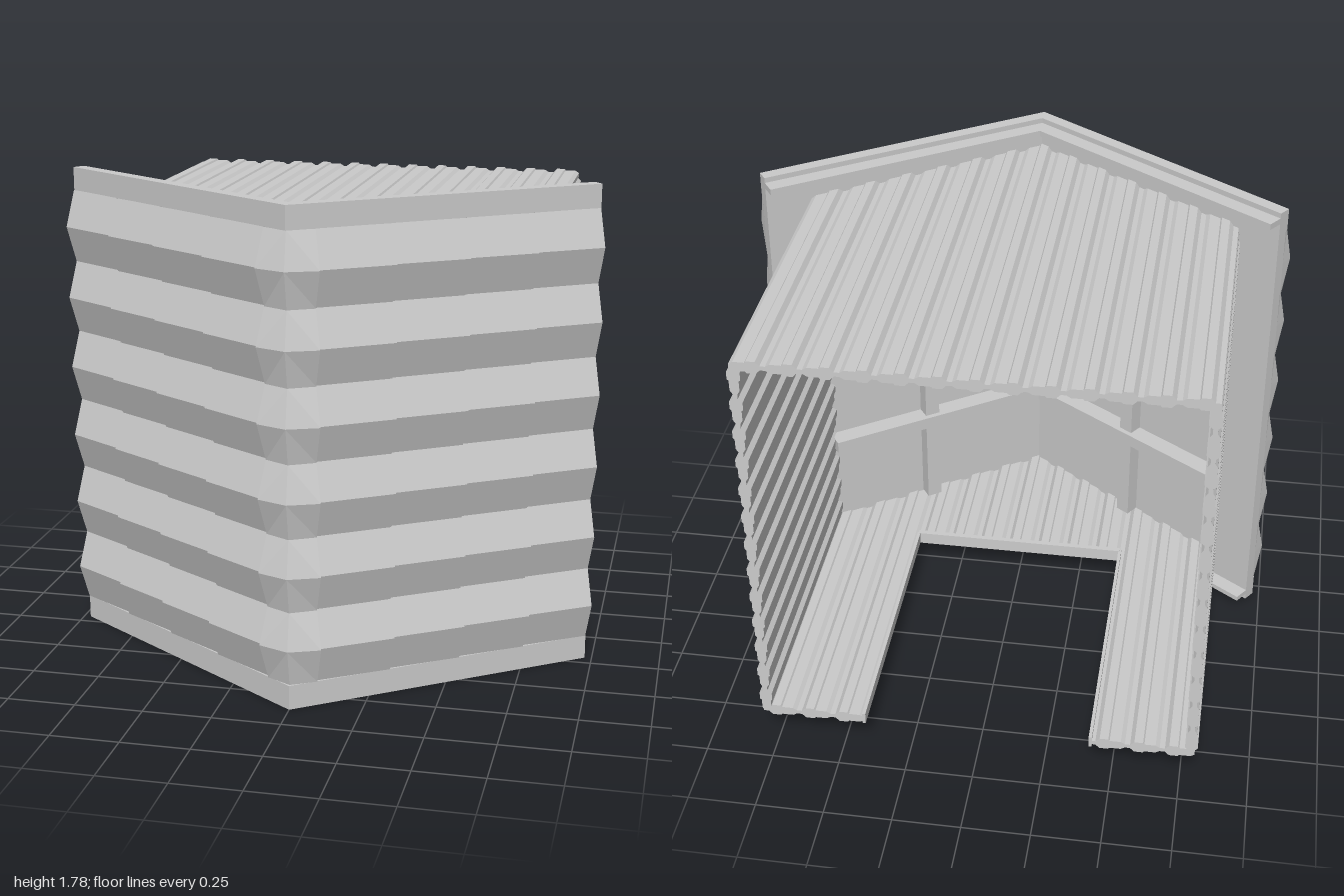
import * as THREE from 'three';

const material = new THREE.MeshStandardMaterial({ color: 0xcccccc, flatShading: true, side: THREE.DoubleSide });

// Plan of the V-shaped front: half width, end depth, apex depth, and the outward normal
const END_X = 0.97, END_Z = 0.195, APEX_Z = 0.87;
const ANGLE = Math.atan2(APEX_Z - END_Z, END_X);
const NX = Math.sin(ANGLE), NZ = Math.cos(ANGLE);
const frontZ = (x, n = 0) => APEX_Z + n / NZ - Math.abs(x) * (APEX_Z - END_Z) / END_X;

function add(group, name, geometry) {
  const mesh = new THREE.Mesh(geometry, material);
  mesh.name = name;
  group.add(mesh);
  return mesh;
}

// Chevron slab between normal offsets n0 (back) and n1 (front), from y0 to y1
function chevron(n0, n1, y0, y1) {
  const end = n => [END_X + NX * n, END_Z + NZ * n];
  const [bx, bz] = end(n0), [fx, fz] = end(n1);
  const plan = [[-fx, fz], [0, frontZ(0, n1)], [fx, fz], [bx, bz], [0, frontZ(0, n0)], [-bx, bz]];
  const shape = new THREE.Shape(plan.map(([x, z]) => new THREE.Vector2(x, -z)));
  const geo = new THREE.ExtrudeGeometry(shape, { depth: y1 - y0, bevelEnabled: false });
  return geo.rotateX(-Math.PI / 2).translate(0, y0, 0);
}

// Ribbed double skin running along z; its section follows the line a-b, outer face on the left of a-b.
// The front end is cut to the chevron.
function ribbedSheet(a, b, zBack) {
  const dir = b.clone().sub(a), length = dir.length();
  dir.normalize();
  const normal = new THREE.Vector2(-dir.y, dir.x);
  const count = Math.max(1, Math.round(length / 0.12)), pitch = length / count;
  const at = (t, d) => a.clone().addScaledVector(dir, t).addScaledVector(normal, d);
  const outer = [], inner = [];
  for (let i = 0; i < count; i++) {
    const t = i * pitch;
    for (const [f, d] of [[0, 0], [0.15, 0], [0.27, 0.015], [0.52, 0.015], [0.56, 0.009], [0.88, 0.009]]) {
      outer.push(at(t + f * pitch, d));
      inner.push(at(t + f * pitch, -0.016 - d));
    }
  }
  outer.push(at(length, 0));
  inner.push(at(length, -0.016));
  const shape = new THREE.Shape([...outer, ...inner.reverse()]);
  const geo = new THREE.ExtrudeGeometry(shape, { depth: 1, bevelEnabled: false });
  const p = geo.attributes.position;
  for (let i = 0; i < p.count; i++) {
    p.setZ(i, p.getZ(i) > 0.5 ? frontZ(p.getX(i), -0.03) : zBack);
  }
  geo.computeVertexNormals();
  return geo;
}

// Pleated cladding: columns of tiles, each tipped out a little at its outer end
function pleats(side) {
  const columns = [0, 0.085, 0.315, 0.54, 0.755, END_X];
  const rows = 12, top = 1.7, bottom = 0.09, lift = 0.014;
  const positions = [];
  const point = (i, j, raised, flat = false) => {
    const x = columns[i], ridge = j % 2 === 1 && !flat;
    let px = x, pz = frontZ(x);
    if (ridge) {
      px += i === 0 ? 0 : 0.022;
      pz += i === 0 ? 0.03 : 0.034;
    }
    if (raised) {
      px += NX * lift * 0.5;
      pz += NZ * lift;
    }
    return [side * px, top + (bottom - top) * j / rows, pz];
  };
  const quad = (a, b, c, d) => {
    const order = side > 0 ? [a, c, d, a, d, b] : [a, d, c, a, b, d];
    order.forEach(v => positions.push(...v));
  };
  for (let i = 0; i < columns.length - 1; i++) {
    const last = i === columns.length - 2;
    for (let j = 0; j < rows; j++) {
      quad(point(i, j), point(i + 1, j, true), point(i, j + 1), point(i + 1, j + 1, true));
      // narrow return down to the next tile, or to the slab at the end
      quad(point(i + 1, j, true), point(i + 1, j, false, last),
        point(i + 1, j + 1, true), point(i + 1, j + 1, false, last));
    }
  }
  const geo = new THREE.BufferGeometry();
  geo.setAttribute('position', new THREE.Float32BufferAttribute(positions, 3));
  geo.computeVertexNormals();
  return geo;
}

export function createModel() {
  const model = new THREE.Group();
  model.name = 'shelter';
  const v = (x, y) => new THREE.Vector2(x, y);
  const back = -0.9, holeX = 0.42, holeZ = 0.2;

  // Front: slab, edge bands and thin rear flanges
  const front = new THREE.Group();
  front.name = 'front';
  model.add(front);
  add(front, 'frontSlab', chevron(-0.04, 0, 0, 1.785));
  add(front, 'topBand', chevron(-0.005, 0.008, 1.7, 1.785));
  add(front, 'bottomBand', chevron(-0.005, 0.008, 0, 0.09));
  add(front, 'topFlange', chevron(-0.1, -0.03, 1.742, 1.765));
  add(front, 'bottomFlange', chevron(-0.1, -0.03, 0.025, 0.045));

  for (const side of [1, -1]) {
    add(front, 'pleatedCladding', pleats(side));

    // Inner frame: a post and two rails on each half
    const place = (mesh, x, y, n) => {
      mesh.position.set(side * x, y, frontZ(x, n));
      mesh.rotation.y = side * ANGLE;
    };
    place(add(front, 'innerPost', new THREE.BoxGeometry(0.06, 1.48, 0.06)), 0.42, 0.9, -0.065);
    for (const y of [0.55, 1.2]) {
      place(add(front, 'innerRail', new THREE.BoxGeometry(0.9, 0.05, 0.08)), 0.4, y, -0.075);
    }
  }

  // Ribbed box behind, open at the back
  const box = new THREE.Group();
  box.name = 'ribbedBox';
  model.add(box);
  add(box, 'roof', ribbedSheet(v(-0.8, 1.66), v(0.8, 1.66), back));
  add(box, 'leftWall', ribbedSheet(v(0.795, 1.66), v(0.795, 0.13), back));
  add(box, 'rightWall', ribbedSheet(v(-0.795, 0.13), v(-0.795, 1.66), back));

  // Floor with a rectangular cutout reaching the back edge
  add(box, 'leftFloor', ribbedSheet(v(0.8, 0.13), v(holeX, 0.13), back));
  add(box, 'rightFloor', ribbedSheet(v(-holeX, 0.13), v(-0.8, 0.13), back));
  add(box, 'frontFloor', ribbedSheet(v(holeX, 0.13), v(-holeX, 0.13), holeZ));
  add(box, 'floorLip', new THREE.BoxGeometry(2 * holeX, 0.05, 0.02)).position.set(0, 0.14, holeZ);
  for (const side of [1, -1]) {
    add(box, 'floorEdge', new THREE.BoxGeometry(0.012, 0.045, holeZ - back))
      .position.set(side * holeX, 0.14, (holeZ + back) / 2);
  }
  return model;
}
